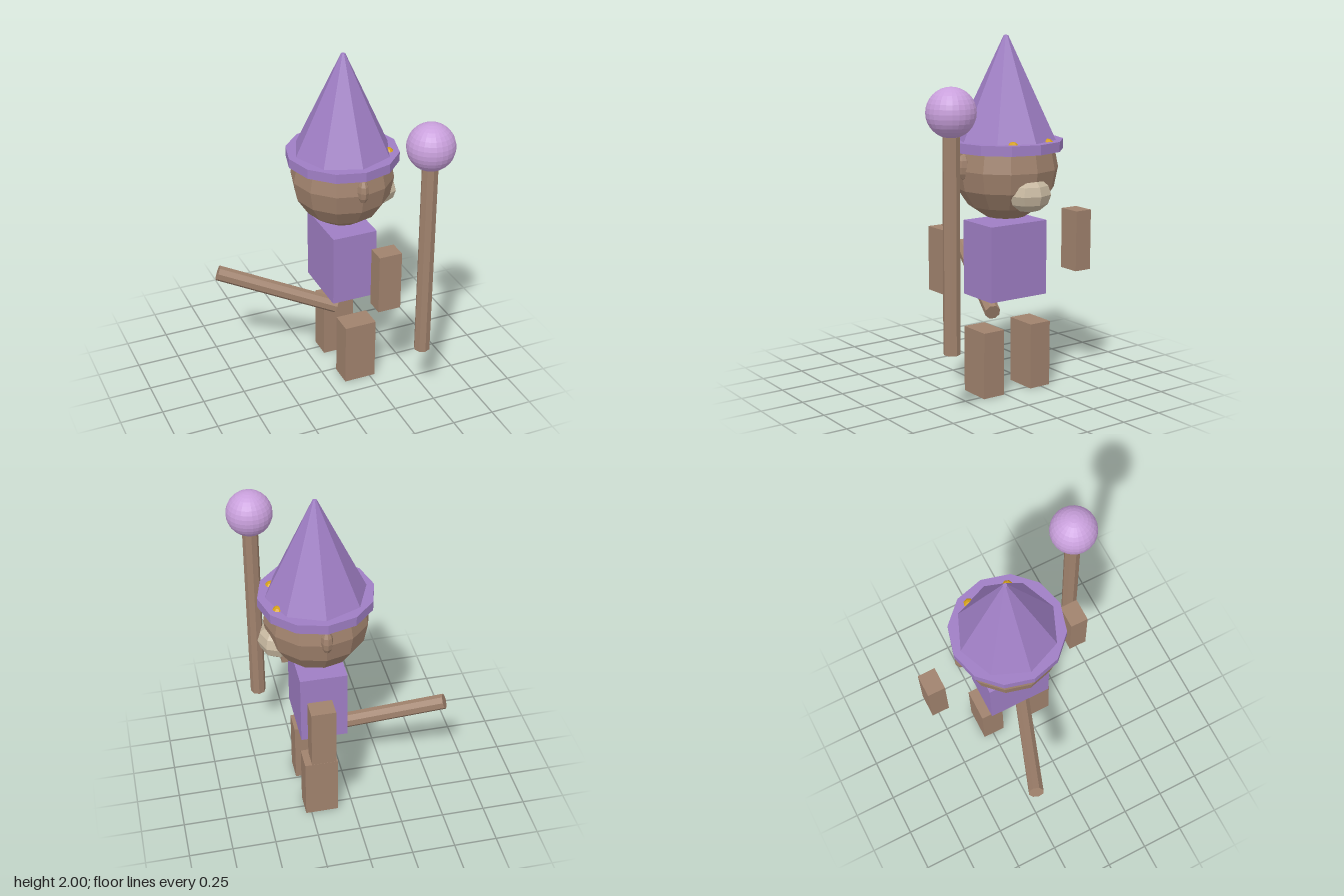
import * as THREE from 'three';

const paint = (name, color) => {
  const m = new THREE.MeshStandardMaterial({ color, flatShading: true });
  m.name = name;
  return m;
};

export function createModel() {
  const group = new THREE.Group();
  group.name = 'wizardCreature';

  const fur = paint('brown fur', 0xa0826d);
  const cloth = paint('purple cloth', 0x9f7ec4);
  const orbColor = paint('pale violet', 0xc9a0dc);
  const cream = paint('cream', 0xc6b79f);
  const gold = paint('gold', 0xd4a017);

  // Axis of the body; the creature faces +x
  const cx = 0.16, cz = -0.082;

  const add = (name, geometry, material, x, y, z) => {
    const mesh = new THREE.Mesh(geometry, material);
    mesh.name = name;
    mesh.position.set(x, y, z);
    group.add(mesh);
    return mesh;
  };
  const ellipsoid = (rx, ry, rz, w, h) => new THREE.SphereGeometry(1, w, h).scale(rx, ry, rz);

  // Torso and head
  add('torso', new THREE.BoxGeometry(0.268, 0.425, 0.38), cloth, cx, 0.76, cz);
  add('head', new THREE.SphereGeometry(0.295, 12, 8), fur, cx, 1.273, cz);
  add('snout', ellipsoid(0.11, 0.1, 0.128, 8, 6), cream, cx + 0.22, 1.15, cz);

  // Paired parts on both sides of the body
  for (const [side, s] of [['right', 1], ['left', -1]]) {
    add(side + 'Ear', ellipsoid(0.034, 0.072, 0.042, 8, 6), fur, cx, 1.297, cz + s * 0.28);
    add(side + 'Eye', new THREE.SphereGeometry(0.036, 8, 6), gold, cx + 0.228, 1.411, cz + s * 0.117);
    add(side + 'Arm', new THREE.BoxGeometry(0.135, 0.35, 0.106), fur, 0.228, 0.822, cz + s * 0.457);
    add(side + 'Leg', new THREE.BoxGeometry(0.192, 0.378, 0.136), fur, 0.187, 0.189, cz + s * 0.161);
  }

  // Pointed hat with a brim
  add('hatBrim', new THREE.CylinderGeometry(0.322, 0.322, 0.055, 12), cloth, cx, 1.403, cz);
  add('hatCone', new THREE.CylinderGeometry(0.012, 0.28, 0.57, 8), cloth, cx, 1.715, cz);

  // Tail, a straight rod leaning up and back
  const start = new THREE.Vector3(0.108, 0.432, -0.035);
  const end = new THREE.Vector3(-0.542, 0.681, -0.27);
  const dir = end.clone().sub(start);
  const mid = start.clone().add(end).multiplyScalar(0.5);
  const tail = add('tail', new THREE.CylinderGeometry(0.045, 0.045, dir.length(), 8), fur, mid.x, mid.y, mid.z);
  tail.quaternion.setFromUnitVectors(new THREE.Vector3(0, 1, 0), dir.normalize());

  // Staff topped by an orb
  add('staff', new THREE.CylinderGeometry(0.046, 0.046, 1.155, 8), fur, 0.428, 0.932, 0.458);
  add('staffOrb', new THREE.SphereGeometry(0.132, 24, 16), orbColor, 0.428, 1.634, 0.458);

  return group;
}
